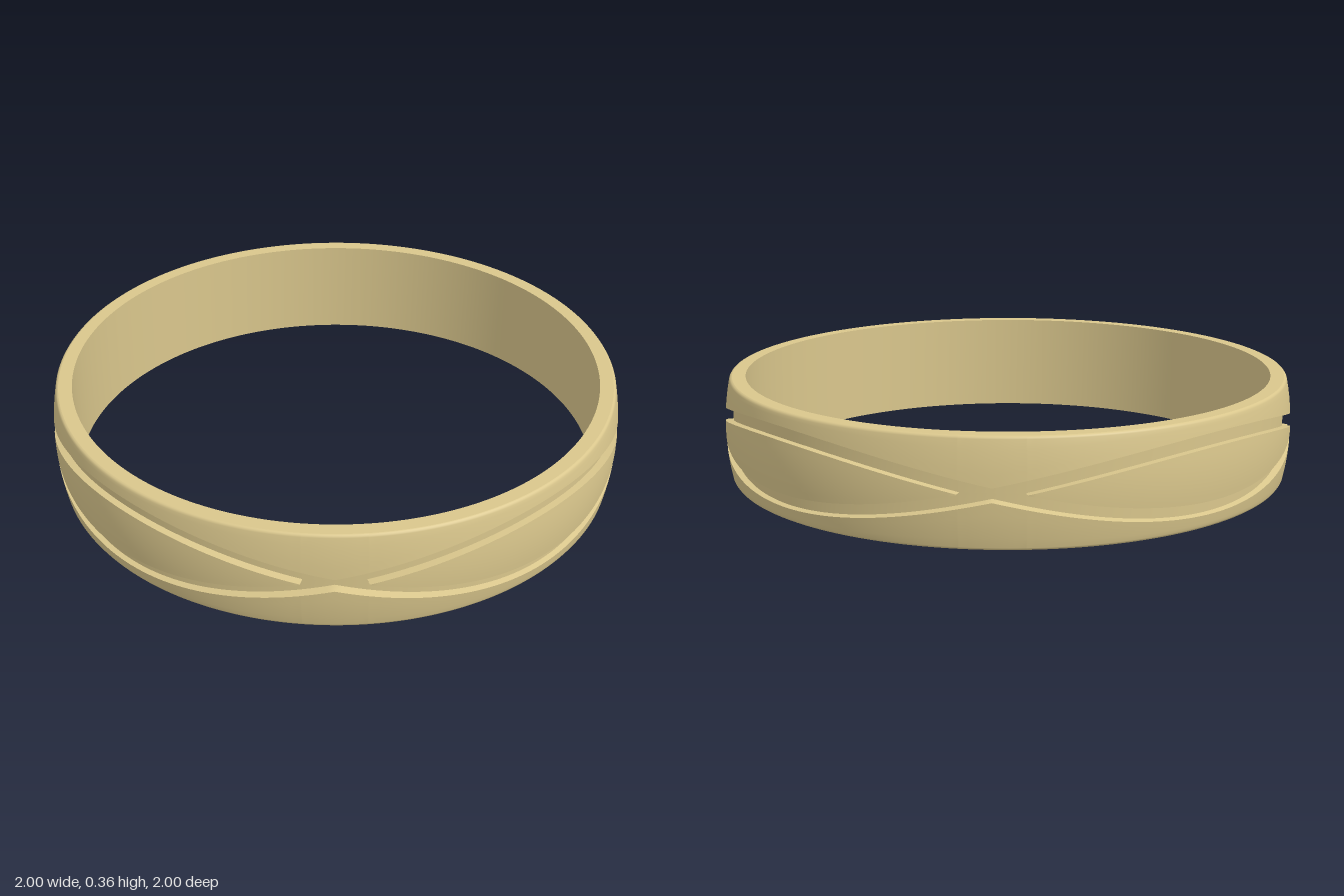
import * as THREE from 'three';

const MID = 0.178;     // half the band height
const INNER = 0.925;   // bore radius
const FLOOR = 0.972;   // radius of the groove bottom
const SWING = 0.11;    // how far each groove weaves from the middle
const HALF = 0.0225;   // half the groove width
const TAPER = 0.005;   // slant of the outer groove walls

// Gently barrelled outside radius at height v from the middle
const bodyRadius = (v) => 1 - 0.02 * (v / MID) ** 2;

// Angles round the ring, with columns exactly on the crossings and panel tips
function ringAngles() {
  const tip = Math.acos(HALF / SWING) / 2;
  const eighth = [];
  for (let i = 0; i < 28; i++) eighth.push((tip - 0.004) * i / 27);
  for (let i = 0; i < 5; i++) eighth.push(tip + (Math.PI / 4 - tip) * i / 4);
  const angles = [];
  for (let q = 0; q < 4; q++) {
    const start = q * Math.PI / 2;
    eighth.forEach((a) => angles.push(start + a));
    eighth.slice(1, -1).reverse().forEach((a) => angles.push(start + Math.PI / 2 - a));
  }
  return angles;
}

// Closed strip round the ring; section(c) gives [radius, height] points
// for a weave offset c, running upwards on the outside
function strip(angles, section) {
  const position = [], index = [];
  let rows = 0;
  for (const a of angles) {
    const points = section(SWING * Math.abs(Math.cos(2 * a)));
    rows = points.length;
    for (const [r, v] of points) position.push(r * Math.sin(a), MID + v, r * Math.cos(a));
  }
  const n = angles.length;
  for (let i = 0; i < n; i++) {
    const k = (i + 1) % n;
    for (let j = 0; j < rows - 1; j++) {
      const a = i * rows + j, b = k * rows + j;
      index.push(a, b, b + 1, a, b + 1, a + 1);
    }
  }
  const geometry = new THREE.BufferGeometry();
  geometry.setAttribute('position', new THREE.Float32BufferAttribute(position, 3));
  geometry.setIndex(index);
  geometry.computeVertexNormals();
  return geometry;
}

// Points on the barrelled surface between two heights
function surface(from, to, steps) {
  const points = [];
  for (let i = 0; i <= steps; i++) {
    const v = from + (to - from) * i / steps;
    points.push([bodyRadius(v), v]);
  }
  return points;
}

export function createModel() {
  const ring = new THREE.Group();
  ring.name = 'ring';
  const material = new THREE.MeshStandardMaterial({ color: 0xd9c68c });
  const angles = ringAngles();
  const add = (name, section) => {
    const mesh = new THREE.Mesh(strip(angles, section), material);
    mesh.name = name;
    ring.add(mesh);
  };

  const outer = (c) => c + HALF;               // far edge of a groove
  const inner = (c) => Math.max(0, c - HALF);  // near edge, closed at crossings
  const panelRadius = (c) => (c - HALF > 1e-6 ? bodyRadius(inner(c)) : FLOOR);

  // Bore and flat end faces
  add('bore', () => [[INNER, MID], [INNER, -MID]]);
  add('topFace', () => [[0.972, MID], [INNER, MID]]);
  add('bottomFace', () => [[INNER, -MID], [0.972, -MID]]);

  // Raised panels between the grooves
  add('panels', (c) => {
    const e = inner(c);
    if (e < 1e-6) return Array.from({ length: 9 }, () => [FLOOR, 0]);
    return surface(-e, e, 8);
  });

  // Parts repeated above and below the middle; mirroring reverses the section
  for (const [side, name] of [[1, 'upper'], [-1, 'lower']]) {
    const mirrored = (section) => (c) => {
      const points = section(c);
      return side > 0 ? points : points.reverse().map(([r, v]) => [r, -v]);
    };
    // Rim with a softened edge
    add(name + 'Rim', mirrored((c) => [
      ...surface(outer(c), MID - 0.009, 4),
      [0.9795, MID - 0.005], [0.977, MID - 0.0015], [0.972, MID],
    ]));
    // Woven groove: bottom and both walls
    add(name + 'GrooveFloor', mirrored((c) => [[FLOOR, inner(c)], [FLOOR, outer(c) - TAPER]]));
    add(name + 'GrooveOuterWall', mirrored((c) => [
      [FLOOR, outer(c) - TAPER], [bodyRadius(outer(c)), outer(c)],
    ]));
    add(name + 'GrooveInnerWall', mirrored((c) => [
      [panelRadius(c), inner(c)], [FLOOR, inner(c)],
    ]));
  }
  return ring;
}
